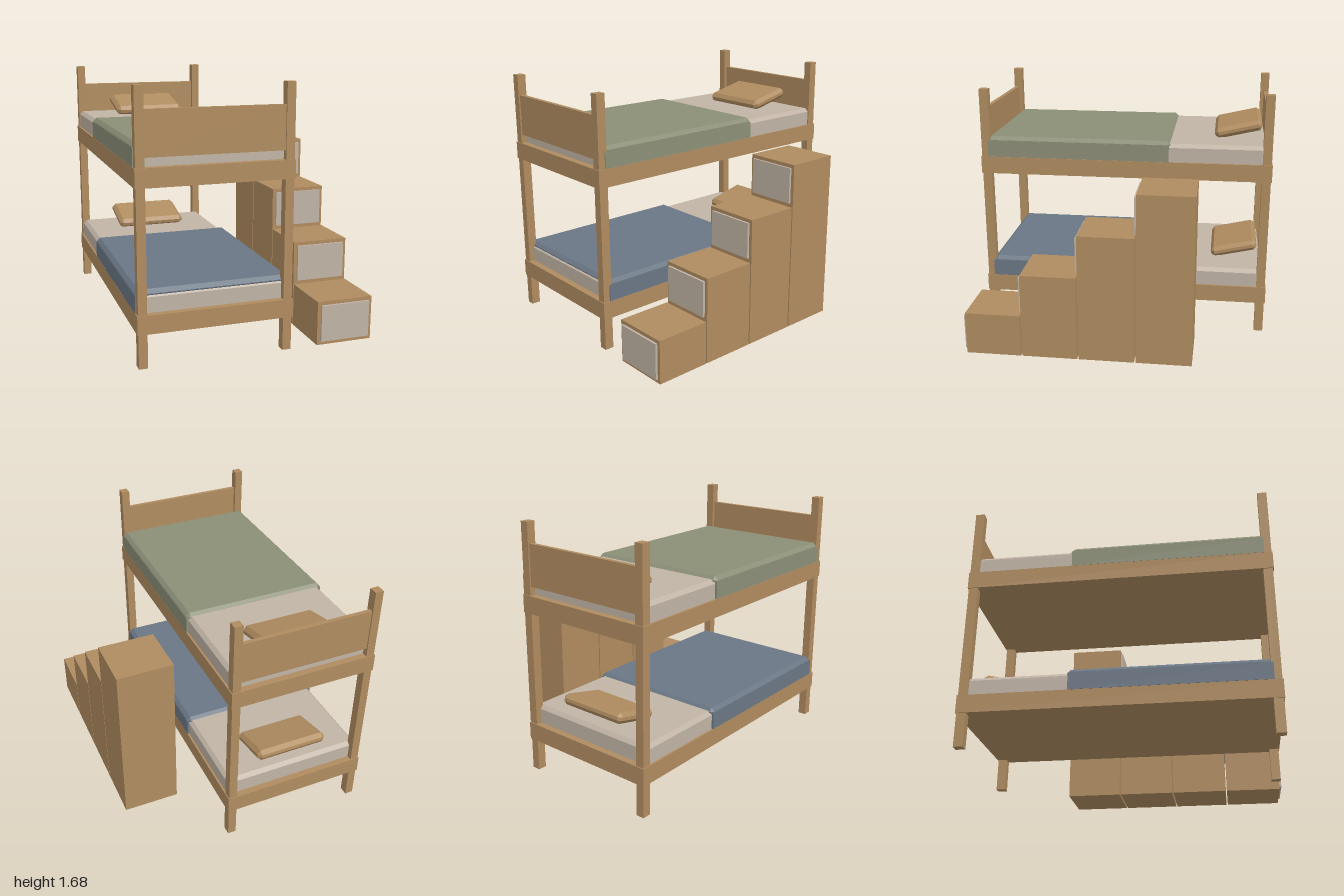
import * as THREE from 'three';
import { ConvexGeometry } from 'three/addons/geometries/ConvexGeometry.js';

const mat = (name, color) => {
  const m = new THREE.MeshStandardMaterial({ color });
  m.name = name;
  return m;
};

// Box with every edge and corner cut by c
function chamferBox(w, h, d, c) {
  const pts = [];
  for (const x of [-w / 2, w / 2]) for (const y of [-h / 2, h / 2]) for (const z of [-d / 2, d / 2]) {
    const ix = x - Math.sign(x) * c, iy = y - Math.sign(y) * c, iz = z - Math.sign(z) * c;
    pts.push(new THREE.Vector3(x, iy, iz), new THREE.Vector3(ix, y, iz), new THREE.Vector3(ix, iy, z));
  }
  return new ConvexGeometry(pts);
}

export function createModel() {
  const model = new THREE.Group();
  model.name = 'bunkBedWithStairs';
  const wood = mat('wood', 0xb08c60);
  const linen = mat('linen', 0xc1b4a6);
  const green = mat('greenBlanket', 0x8c8f77);
  const blue = mat('blueBlanket', 0x6b7785);

  const add = (parent, name, geo, material, x, y, z) => {
    const mesh = new THREE.Mesh(geo, material);
    mesh.name = name;
    mesh.position.set(x, y, z);
    parent.add(mesh);
    return mesh;
  };
  // Plain or chamfered block given by its limits on each axis
  const block = (parent, name, material, [x0, x1], [y0, y1], [z0, z1], c = 0) => {
    const s = [x1 - x0, y1 - y0, z1 - z0];
    const geo = c ? chamferBox(...s, c) : new THREE.BoxGeometry(...s);
    return add(parent, name, geo, material, (x0 + x1) / 2, (y0 + y1) / 2, (z0 + z1) / 2);
  };

  // Bed, centred on its own width and length
  const bed = new THREE.Group();
  bed.name = 'bunkBed';
  bed.position.set(-0.278, 0, -0.004);
  model.add(bed);

  for (const sx of [-1, 1]) for (const sz of [-1, 1])
    add(bed, 'post', new THREE.BoxGeometry(0.056, 1.68, 0.06), wood, sx * 0.462, 0.84, sz * 0.958);

  // Headboard and footboard of the upper bunk
  for (const [name, sz] of [['headboard', -1], ['footboard', 1]])
    add(bed, name, new THREE.BoxGeometry(0.87, 0.275, 0.028), wood, 0, 1.4075, sz * 0.965);

  // Two bunks, y being the underside of each frame
  for (const [name, y, cover] of [['lowerBunk', 0.216, blue], ['upperBunk', 1.096, green]]) {
    const bunk = new THREE.Group();
    bunk.name = name;
    bunk.position.y = y;
    bed.add(bunk);
    block(bunk, 'frame', wood, [-0.496, 0.496], [0, 0.117], [-0.994, 0.994]);
    block(bunk, 'mattress', linen, [-0.483, 0.483], [0.09, 0.239], [-0.95, 0.95], 0.024);
    block(bunk, 'blanketTop', cover, [-0.494, 0.494], [0.205, 0.259], [-0.312, 0.945], 0.024);
    for (const s of [-1, 1])
      add(bunk, 'blanketSide', new THREE.BoxGeometry(0.016, 0.112, 1.245), cover, s * 0.488, 0.174, 0.3205);
    // Pillow leaning up toward the head end
    const pillow = add(bunk, 'pillow', chamferBox(0.5, 0.072, 0.33, 0.025), wood, 0, 0.298, -0.765);
    pillow.rotation.x = 0.23;
  }

  // Storage stairs with a drawer front in each riser
  const stairs = new THREE.Group();
  stairs.name = 'storageStairs';
  model.add(stairs);
  const rise = 0.2885;
  for (let i = 0; i < 4; i++) {
    const front = 0.985 - i * 0.3785;
    block(stairs, 'stairBlock', wood, [0.394, 0.775], [0, rise * (i + 1)], [front - 0.369, front]);
    block(stairs, 'drawerFront', linen, [0.417, 0.752], [rise * i + 0.025, rise * (i + 1) - 0.024], [front - 0.002, front + 0.015]);
  }
  return model;
}
